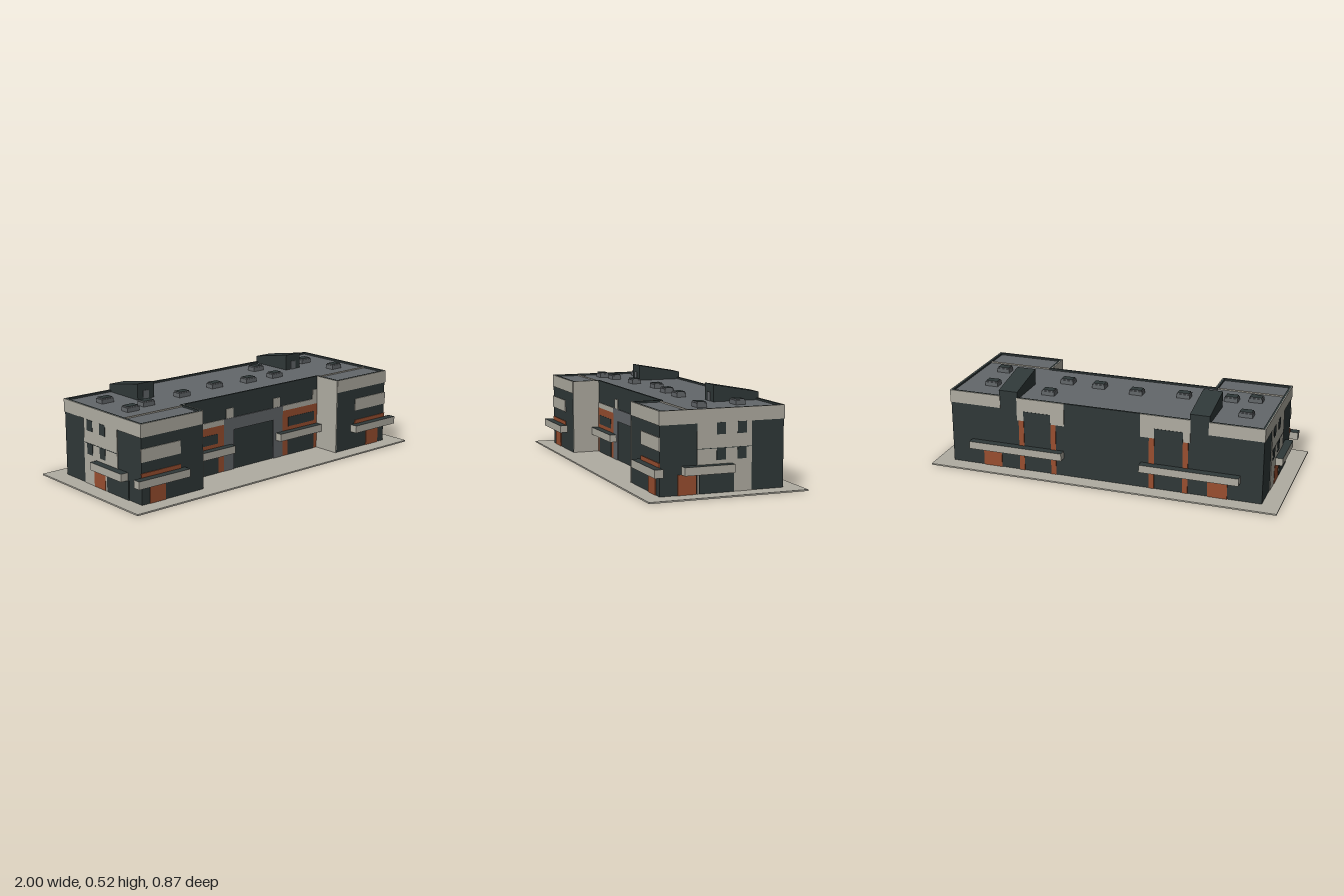
import * as THREE from 'three';

const flat = (name, color) => {
  const m = new THREE.MeshStandardMaterial({ color });
  m.name = name;
  return m;
};

export function createModel() {
  const dark = flat('dark cladding', 0x2f3838);
  const beige = flat('pale stone', 0xb0ada2);
  const grey = flat('roof grey', 0x63676a);
  const orange = flat('rust panel', 0x994e2f);
  const canopyMats = [beige, beige, dark, beige, beige, beige];
  const skylightMats = [grey, grey, dark, grey, grey, grey];

  const root = new THREE.Group();
  root.name = 'schoolBuilding';

  // Box given by its lower and upper limits
  const box = (parent, name, mat, x0, x1, y0, y1, z0, z1) => {
    const mesh = new THREE.Mesh(new THREE.BoxGeometry(x1 - x0, y1 - y0, z1 - z0), mat);
    mesh.position.set((x0 + x1) / 2, (y0 + y1) / 2, (z0 + z1) / 2);
    mesh.name = name;
    parent.add(mesh);
    return mesh;
  };

  // Vertical extrusion of a plan outline, drawn as x and -z
  const extrudeUp = (name, shape, y0, y1, mat) => {
    const g = new THREE.ExtrudeGeometry(shape, { depth: y1 - y0, bevelEnabled: false });
    g.rotateX(-Math.PI / 2);
    g.translate(0, y0, 0);
    const mesh = new THREE.Mesh(g, mat);
    mesh.name = name;
    root.add(mesh);
  };

  // U-shaped plan, inset by d
  const plan = (d) => [
    [-0.901 + d, 0.341 - d], [-0.901 + d, -0.341 + d], [-0.5 - d, -0.341 + d], [-0.5 - d, -0.18 + d],
    [0.5 + d, -0.18 + d], [0.5 + d, -0.341 + d], [0.901 - d, -0.341 + d], [0.901 - d, 0.341 - d],
  ].map(([x, y]) => new THREE.Vector2(x, y));

  // Ground slab, body and parapet
  box(root, 'groundSlab', beige, -1, 1, 0, 0.008, -0.435, 0.435);
  extrudeUp('body', new THREE.Shape(plan(0)), 0.008, 0.427, [grey, dark]);
  const rim = new THREE.Shape(plan(0));
  rim.holes.push(new THREE.Path(plan(0.012)));
  extrudeUp('parapet', rim, 0.427, 0.437, dark);

  // Facade group: local x runs to the viewer's right, local z points outward
  const facade = (name, x, z, turn) => {
    const g = new THREE.Group();
    g.name = name;
    g.position.set(x, 0, z);
    g.rotation.y = turn;
    root.add(g);
    return {
      plate: (part, mat, u0, u1, y0, y1, out = 0.004) => box(g, part, mat, u0, u1, y0, y1, -0.001, out),
      canopy: (u0, u1) => box(g, 'canopy', canopyMats, u0, u1, 0.112, 0.155, 0, 0.045),
    };
  };
  const span = (s, a, b) => (s > 0 ? [a, b] : [-b, -a]);

  const front = facade('wingFronts', 0, 0.341, 0);
  const court = facade('courtFront', 0, 0.18, 0);
  const back = facade('backFacade', 0, -0.341, Math.PI);

  for (const s of [-1, 1]) {
    // Wing fronts
    front.plate('topBand', beige, ...span(s, 0.5, 0.905), 0.365, 0.437);
    front.plate('middleBand', beige, ...span(s, 0.65, 0.905), 0.235, 0.305);
    front.plate('lowerPanel', orange, ...span(s, 0.65, 0.905), 0.15, 0.177);
    front.plate('door', orange, ...span(s, 0.75, 0.85), 0.008, 0.115);
    front.canopy(...span(s, 0.62, 0.95));

    // Recessed court front
    court.plate('stoneStrip', beige, ...span(s, 0.22, 0.5), 0.275, 0.305);
    court.plate('rustFrame', orange, ...span(s, 0.22, 0.5), 0.008, 0.275);
    court.plate('window', dark, ...span(s, 0.265, 0.47), 0.177, 0.232, 0.006);
    court.plate('groundWindow', dark, ...span(s, 0.262, 0.47), 0.008, 0.115, 0.006);
    court.plate('stonePanel', beige, ...span(s, 0.15, 0.2), 0.305, 0.36);
    court.plate('portalSide', grey, ...span(s, 0.15, 0.22), 0.008, 0.235, 0.006);
    court.canopy(...span(s, 0.17, 0.5));

    // Inner cheek of each wing
    const cheek = facade('wingCheek', s * 0.5, 0.26, -s * Math.PI / 2);
    cheek.plate('cheekWall', beige, -0.08, 0.084, 0.008, 0.437);

    // Back wall
    back.plate('cornerBand', beige, ...span(s, 0.6, 0.905), 0.365, 0.437);
    back.plate('upperPanel', beige, ...span(s, 0.22, 0.5), 0.305, 0.437);
    back.plate('upperWindow', dark, ...span(s, 0.3, 0.46), 0.305, 0.362, 0.006);
    back.plate('rustStrip', orange, ...span(s, 0.27, 0.3), 0.008, 0.305);
    back.plate('rustStrip', orange, ...span(s, 0.46, 0.49), 0.008, 0.305);
    back.plate('door', orange, ...span(s, 0.6, 0.71), 0.008, 0.115);
    back.canopy(...span(s, 0.225, 0.78));

    // End walls
    const end = facade('endWall', s * 0.901, 0, s * Math.PI / 2);
    end.plate('topBand', beige, -0.345, 0.345, 0.365, 0.437);
    end.plate('stonePanel', beige, ...span(s, -0.14, 0.16), 0.008, 0.365);
    end.plate('joint', dark, ...span(s, -0.14, 0.16), 0.234, 0.237, 0.005);
    for (const a of [-0.035, 0.08]) {
      for (const y of [0.175, 0.305]) {
        end.plate('window', dark, ...span(s, a, a + 0.05), y, y + 0.06, 0.006);
      }
    }
    const u = s > 0 ? -0.245 : -0.07;
    end.plate('door', orange, u, u + 0.1, 0.008, 0.112, 0.006);
    end.plate('groundWindow', dark, u + 0.115, u + 0.305, 0.008, 0.112, 0.006);
    end.canopy(...(s > 0 ? [-0.225, 0.05] : [-0.05, 0.225]));

    // Sloping roof stair house, its side profile drawn as -z and y
    const side = new THREE.Shape([
      [0.08, 0.42], [0.342, 0.42], [0.342, 0.47], [0.08, 0.518],
    ].map(([x, y]) => new THREE.Vector2(x, y)));
    const g = new THREE.ExtrudeGeometry(side, { depth: 0.11, bevelEnabled: false });
    g.rotateY(Math.PI / 2);
    const house = new THREE.Mesh(g, dark);
    house.name = 'roofStairHouse';
    house.position.x = s * 0.55 - 0.055;
    root.add(house);
    box(root, 'roofDoor', grey, s * 0.55 - 0.018, s * 0.55 + 0.018, 0.427, 0.475, -0.081, -0.076);

    // Roof joint between wing and main block
    box(root, 'roofJoint', beige, ...span(s, 0.5, 0.89), 0.426, 0.434, 0.176, 0.184);
  }

  // Entrance portal head
  court.plate('portalHead', grey, -0.22, 0.22, 0.235, 0.305, 0.006);
  court.plate('stonePanel', beige, 0.46, 0.5, 0.305, 0.36);

  // Skylights
  const skylights = [
    [-0.76, -0.165], [-0.63, 0.03], [-0.76, 0.065], [-0.365, 0], [-0.1, -0.037],
    [0.13, -0.01], [0.325, 0], [0.36, -0.2], [0.72, -0.165], [0.75, 0.065],
  ];
  for (const [x, z] of skylights) {
    box(root, 'skylightCurb', grey, x - 0.038, x + 0.038, 0.426, 0.45, z - 0.027, z + 0.027);
    box(root, 'skylight', skylightMats, x - 0.033, x + 0.033, 0.45, 0.457, z - 0.023, z + 0.023);
  }
  return root;
}
